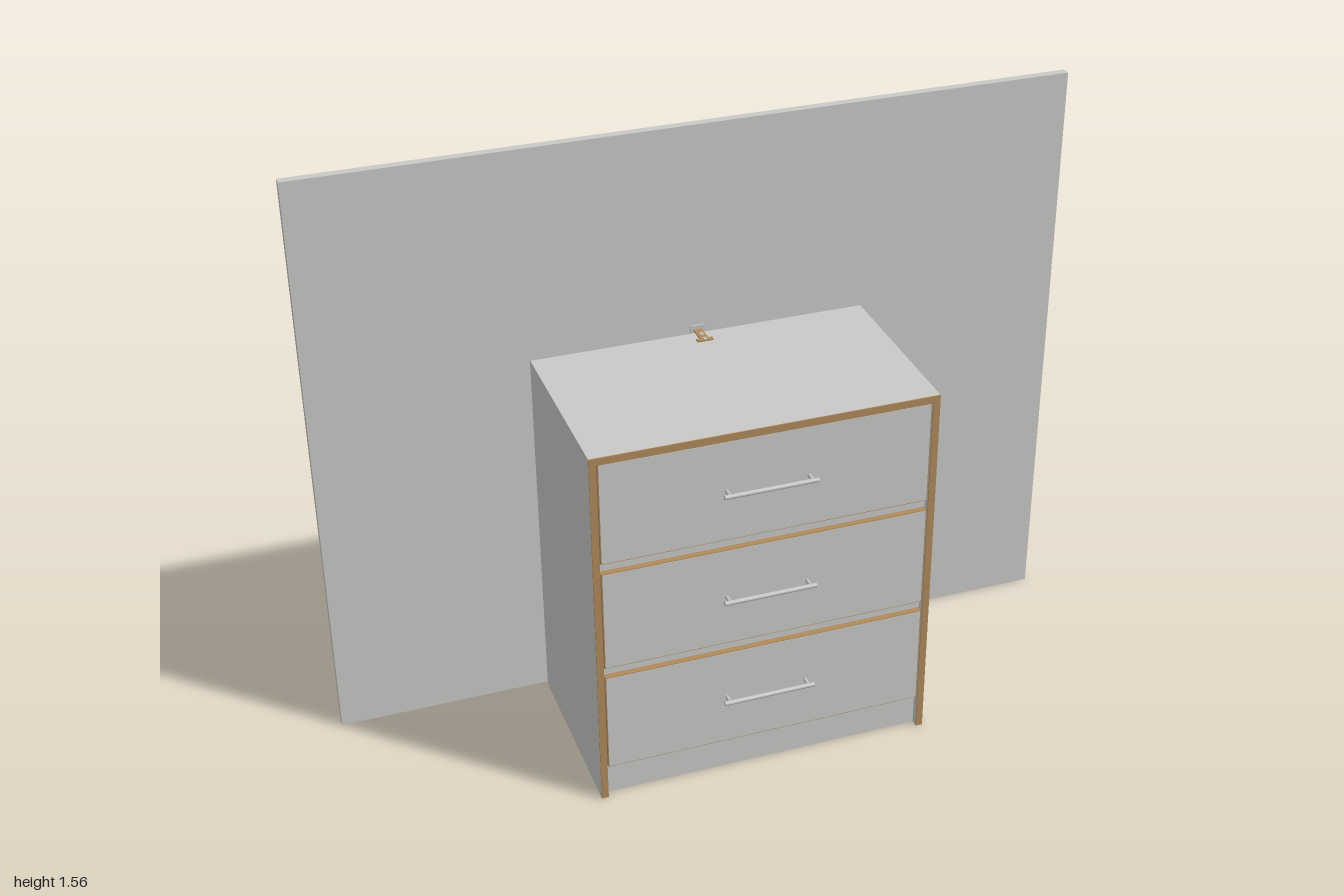
import * as THREE from 'three';

function material(name, color) {
  const m = new THREE.MeshStandardMaterial({ color });
  m.name = name;
  return m;
}

export function createModel() {
  const model = new THREE.Group();
  model.name = 'wallMountedDrawerChest';
  const grey = material('lightGreyBoard', 0xc9c9c7);
  const tan = material('tanEdgeBanding', 0xb08a5c);
  const metal = material('paleMetal', 0xc4c4c2);

  // Box given by its minimum and maximum along each axis
  function box(name, [x0, x1], [y0, y1], [z0, z1], mat, parent = model) {
    const mesh = new THREE.Mesh(new THREE.BoxGeometry(x1 - x0, y1 - y0, z1 - z0), mat);
    mesh.position.set((x0 + x1) / 2, (y0 + y1) / 2, (z0 + z1) / 2);
    mesh.name = name;
    parent.add(mesh);
    return mesh;
  }

  const W = 0.441, T = 0.018, FRONT = 0.254, BACK = -0.25, BAND = 0.003;

  // Wall panel behind the chest
  box('wall', [-1, 1], [0, 1.556], [-0.285, -0.262], grey);

  // Carcass: sides and top with banded front edges
  for (const s of [-1, 1]) {
    const x = s > 0 ? [W - T, W] : [-W, -W + T];
    box('sidePanel', x, [0, 1], [BACK + 0.005, FRONT - BAND], grey);
    box('sideEdgeBand', x, [0, 1], [FRONT - BAND, FRONT], tan);
  }
  const inner = [-W + T, W - T];
  box('topPanel', inner, [1 - T, 1], [BACK + 0.005, FRONT - BAND], grey);
  box('topEdgeBand', inner, [1 - T, 1], [FRONT - BAND, FRONT], tan);
  box('backPanel', [-W, W], [0.004, 0.998], [BACK, BACK + 0.005], grey);
  box('bottomPanel', inner, [0.078, 0.094], [BACK + 0.005, 0.234], grey);
  box('plinth', inner, [0, 0.078], [0.216, 0.234], grey);

  // Three drawers, each with a banded front, a box and a bar handle
  for (const y of [0.095, 0.4, 0.705]) {
    const drawer = new THREE.Group();
    drawer.name = 'drawer';
    model.add(drawer);
    const hx = 0.42, h = 0.276, z = [0.236, FRONT - 0.001], b = 0.002;
    box('drawerFront', [-hx + b, hx - b], [y + b, y + h - b], z, grey, drawer);
    const bandZ = [z[0], z[1] - 0.001];
    for (const e of [y, y + h - b]) box('drawerEdgeBand', [-hx, hx], [e, e + b], bandZ, tan, drawer);
    for (const e of [-hx, hx - b]) box('drawerEdgeBand', [e, e + b], [y + b, y + h - b], bandZ, tan, drawer);
    box('drawerBox', [-0.41, 0.41], [y + 0.01, y + h - 0.03], [-0.22, 0.235], grey, drawer);
    if (y > 0.1) box('crossRail', inner, [y - 0.03, y - 0.006], [0.2, 0.235], grey);

    const handleY = y + 0.139;
    const bar = new THREE.Mesh(new THREE.CylinderGeometry(0.006, 0.006, 0.24, 16), metal);
    bar.rotation.z = Math.PI / 2;
    bar.position.set(0, handleY, 0.279);
    bar.name = 'handleBar';
    drawer.add(bar);
    for (const x of [-0.105, 0.105]) {
      const post = new THREE.Mesh(new THREE.CylinderGeometry(0.005, 0.005, 0.026, 12), metal);
      post.rotation.x = Math.PI / 2;
      post.position.set(x, handleY, 0.266);
      post.name = 'handlePost';
      drawer.add(post);
    }
  }

  // Anti-tip strap joining the chest top to the wall
  const strap = new THREE.Group();
  strap.name = 'wallStrap';
  model.add(strap);
  box('topPlate', [-0.021, 0.021], [1, 1.004], [-0.208, -0.196], tan, strap);
  box('strapArm', [-0.011, 0.011], [1, 1.004], [-0.258, -0.208], tan, strap);
  box('wallPlate', [-0.019, 0.019], [0.98, 1.015], [-0.262, -0.257], metal, strap);
  for (const z of [-0.202, -0.228]) {
    const screw = new THREE.Mesh(new THREE.CylinderGeometry(0.005, 0.006, 0.004, 12), metal);
    screw.position.set(0, 1.005, z);
    screw.name = 'strapScrew';
    strap.add(screw);
  }

  return model;
}
